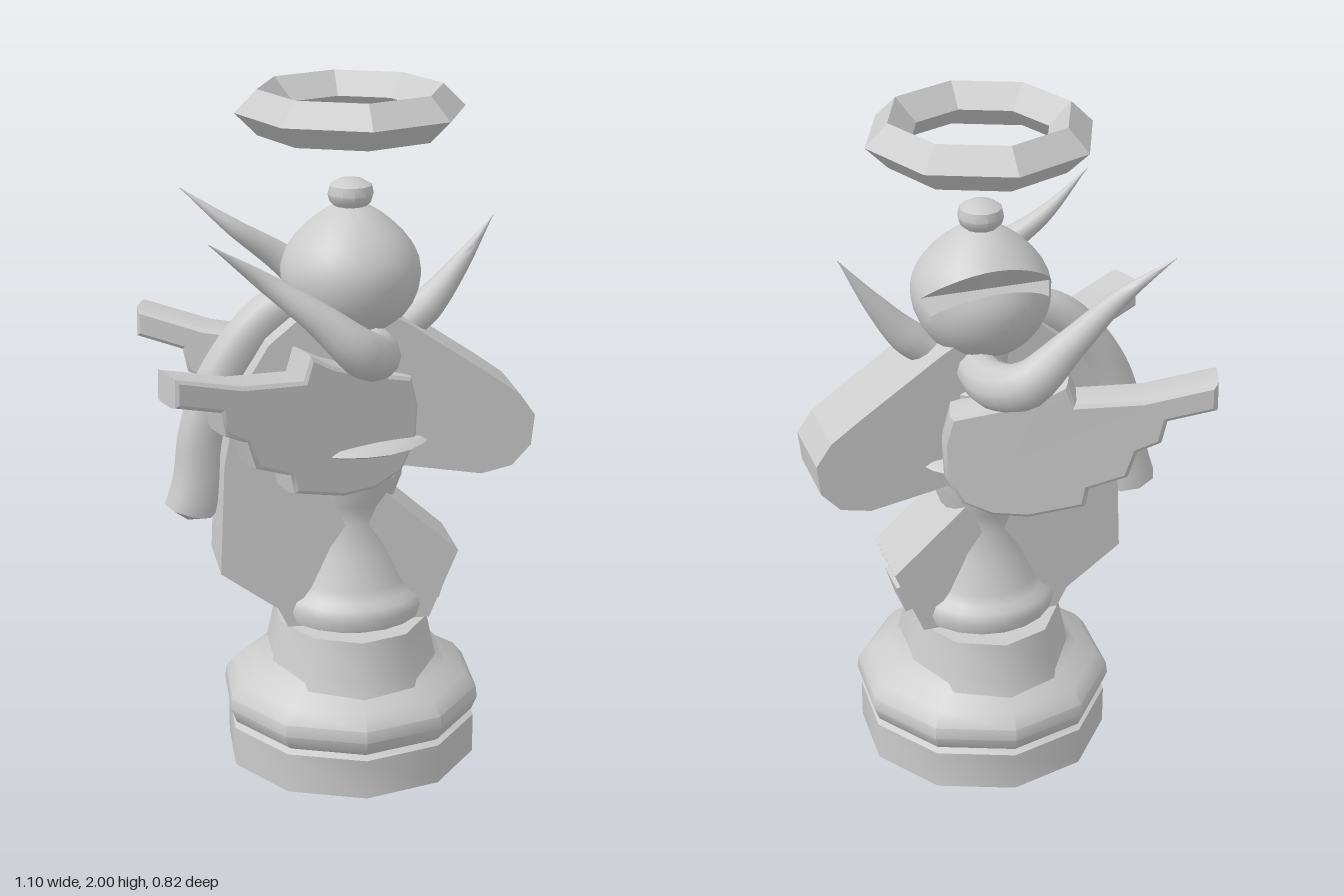
import * as THREE from 'three';
import { toCreasedNormals } from 'three/addons/utils/BufferGeometryUtils.js';

const CX = 0.033, CZ = 0.025; // axis of the turned parts
const grey = new THREE.MeshStandardMaterial({ color: 0xcccccc, side: THREE.DoubleSide });
const v2 = (pts) => pts.map(([x, y]) => new THREE.Vector2(x, y));

function part(group, name, geometry, crease = 0.7) {
  const mesh = new THREE.Mesh(toCreasedNormals(geometry, crease), grey);
  mesh.name = name;
  group.add(mesh);
  return mesh;
}

// Turned part on the common axis, profile given as [radius, y] from bottom to top
function turned(group, name, profile, sides = 20, phi = 0) {
  const mesh = part(group, name, new THREE.LatheGeometry(v2(profile), sides, phi));
  mesh.position.set(CX, 0, CZ);
  return mesh;
}

// Round sweep along points [x, y, z, radius], with a flat end
function sweep(group, name, pts, sides = 12, n = 24) {
  const curve = new THREE.CatmullRomCurve3(pts.map((p) => new THREE.Vector3(p[0], p[1], p[2])));
  const lengths = curve.getLengths(100 * (pts.length - 1));
  const total = lengths[lengths.length - 1];
  const stops = pts.map((_, i) => lengths[i * 100] / total);
  const radiusAt = (u) => {
    let i = 0;
    while (i < pts.length - 2 && u > stops[i + 1]) i++;
    return THREE.MathUtils.mapLinear(u, stops[i], stops[i + 1], pts[i][3], pts[i + 1][3]);
  };
  const geo = new THREE.TubeGeometry(curve, n, 1, sides, false);
  const pos = geo.attributes.position, v = new THREE.Vector3();
  for (let k = 0; k < pos.count; k++) {
    const i = Math.floor(k / (sides + 1));
    const c = curve.getPointAt(i / n);
    v.fromBufferAttribute(pos, k).sub(c).multiplyScalar(Math.max(radiusAt(i / n), 0.001)).add(c);
    if (pts[pts.length - 1][3] > 0 && i === n) v.copy(curve.getPointAt(1));
    pos.setXYZ(k, v.x, v.y, v.z);
  }
  return part(group, name, geo, 0.9);
}

// Egg-shaped head with a slanted slot: a sphere turned about the slot's normal
function headGeometry() {
  const R = 0.2, h1 = -0.077, h2 = -0.021, slotDepth = 0.057;
  const rows = [];
  const ring = (h, cut) => rows.push({ h, r: Math.sqrt(Math.max(R * R - h * h, 0)), cut });
  for (let i = 0; i <= 8; i++) ring(-R + (h1 + R) * (1 - Math.cos((i / 8) * Math.PI / 2)), false);
  ring(h1, true);
  ring(h2, true);
  for (let i = 0; i <= 10; i++) ring(h2 + (R - h2) * Math.sin((i / 10) * Math.PI / 2), false);
  const geo = new THREE.LatheGeometry(v2(rows.map((p) => [p.r, p.h])), 32);
  const pos = geo.attributes.position;
  for (let k = 0; k < pos.count; k++) {
    if (rows[k % rows.length].cut) pos.setX(k, Math.min(pos.getX(k), slotDepth));
  }
  const u = new THREE.Vector3(0, 0.65, -0.76).normalize();
  const n = new THREE.Vector3(0, 0.76, 0.65).normalize();
  geo.applyMatrix4(new THREE.Matrix4().makeBasis(u, n, new THREE.Vector3(1, 0, 0)));
  for (let k = 0; k < pos.count; k++) {
    const y = pos.getY(k), s = y > 0 ? 1 - 9 * y * y : 1;
    pos.setX(k, pos.getX(k) * s);
    pos.setZ(k, pos.getZ(k) * s);
  }
  return geo;
}

export function createModel() {
  const group = new THREE.Group();
  group.name = 'ornatePiece';

  // Ten-sided foot and the drum above it
  const phi = THREE.MathUtils.degToRad(33);
  turned(group, 'base', [[0, 0], [0.375, 0], [0.375, 0.12], [0.355, 0.13], [0.37, 0.14], [0.386, 0.18],
    [0.382, 0.215], [0.35, 0.255], [0.29, 0.29], [0.25, 0.33], [0.235, 0.36], [0, 0.36]], 10, phi);
  turned(group, 'drum', [[0.31, 0.27], [0.292, 0.33], [0.265, 0.44], [0, 0.44]], 10, phi).scale.x = 0.86;

  // Turned stem, with a ring at its foot and collars
  turned(group, 'stem', [[0.19, 0.44], [0.212, 0.45], [0.222, 0.485], [0.212, 0.515], [0.19, 0.53],
    [0.175, 0.56], [0.145, 0.65], [0.115, 0.745], [0.125, 0.8], [0.15, 0.87], [0.155, 0.92], [0.12, 0.94],
    [0.12, 0.97], [0.215, 0.985], [0.235, 0.995], [0.215, 1.008], [0.12, 1.02], [0.1, 1.1], [0.115, 1.15],
    [0.15, 1.18], [0.15, 1.21], [0.115, 1.23], [0.12, 1.32]]);

  // Slotted head and finial
  part(group, 'head', headGeometry(), 0.6).position.set(CX, 1.48, CZ);
  turned(group, 'finial', [[0.06, 1.64], [0.045, 1.665], [0.06, 1.68], [0.066, 1.7], [0.06, 1.725], [0.035, 1.74],
    [0, 1.745]], 12);

  // Halo
  const halo = new THREE.Mesh(new THREE.TorusGeometry(0.262, 0.064, 4, 8).rotateX(Math.PI / 2).toNonIndexed(),
    new THREE.MeshStandardMaterial({ color: 0xcccccc, flatShading: true }));
  halo.geometry.computeVertexNormals();
  halo.name = 'halo';
  halo.position.set(CX, 1.9375, CZ);
  group.add(halo);

  // Flat horse-like body with its muzzle and chest
  const body = new THREE.Shape(v2([[0.1, 1.39], [0.185, 1.34], [0.42, 1.18], [0.51, 1.115], [0.555, 1.05],
    [0.545, 0.96], [0.49, 0.9], [0.4, 0.88], [0.17, 0.92], [0.105, 0.85], [0.335, 0.645], [0.25, 0.44],
    [-0.17, 0.44], [-0.2, 0.5], [-0.365, 0.62], [-0.35, 0.95], [-0.31, 1.15], [-0.22, 1.3], [-0.1, 1.4]]));
  part(group, 'body', new THREE.ExtrudeGeometry(body, { depth: 0.22, bevelEnabled: false }), 0.3)
    .position.z = -0.085;
  const peg = part(group, 'chestPeg', new THREE.BoxGeometry(0.12, 0.09, 0.12));
  peg.position.set(0.245, 0.54, 0.03);
  peg.rotation.z = -0.3;

  // Mane along the back
  sweep(group, 'mane', [[-0.04, 1.43, 0.018, 0.06], [-0.2, 1.365, 0.018, 0.062], [-0.34, 1.19, 0.018, 0.064],
    [-0.4, 1.02, 0.018, 0.066], [-0.415, 0.88, 0.018, 0.07], [-0.445, 0.75, 0.018, 0.078]], 8);

  // Wings, one on each side, spreading backward
  const wing = new THREE.Shape(v2([[-0.55, 1.285], [-0.36, 1.235], [-0.16, 1.22], [-0.14, 1.285], [-0.08, 1.25],
    [0.02, 1.215], [0.17, 1.18], [0.19, 1.1], [0.185, 1.0], [0.14, 0.92], [0.06, 0.885], [-0.04, 0.88],
    [-0.19, 0.915], [-0.2, 0.97], [-0.31, 1.01], [-0.335, 1.09], [-0.4, 1.12], [-0.415, 1.19], [-0.55, 1.225]]));
  const wingGeo = new THREE.ExtrudeGeometry(wing, {
    depth: 0.07, bevelThickness: 0.025, bevelSize: 0.015, bevelSegments: 2,
  }).translate(0, 0, -0.035);
  for (const [name, side] of [['frontWing', 1], ['backWing', -1]]) {
    const mesh = part(group, name, wingGeo, 0.6);
    mesh.position.set(0, 0, -0.012 + side * 0.165);
    mesh.rotation.y = side * 0.335;
  }

  // Pair of curling side horns, and a straight one at the muzzle side
  const horn = [[0.08, 1.28, 0.1, 0.06], [0.07, 1.285, 0.23, 0.068], [0.01, 1.325, 0.335, 0.068],
    [-0.11, 1.43, 0.345, 0.046], [-0.26, 1.54, 0.325, 0.026], [-0.41, 1.655, 0.36, 0]];
  sweep(group, 'frontHorn', horn);
  sweep(group, 'backHorn', horn.map(([x, y, z, r]) => [x, y, 0.037 - z, r]));
  sweep(group, 'sideHorn', [[0.13, 1.27, CZ, 0.055], [0.25, 1.36, CZ, 0.052], [0.345, 1.475, CZ, 0.03],
    [0.445, 1.62, CZ, 0]]);

  return group;
}
